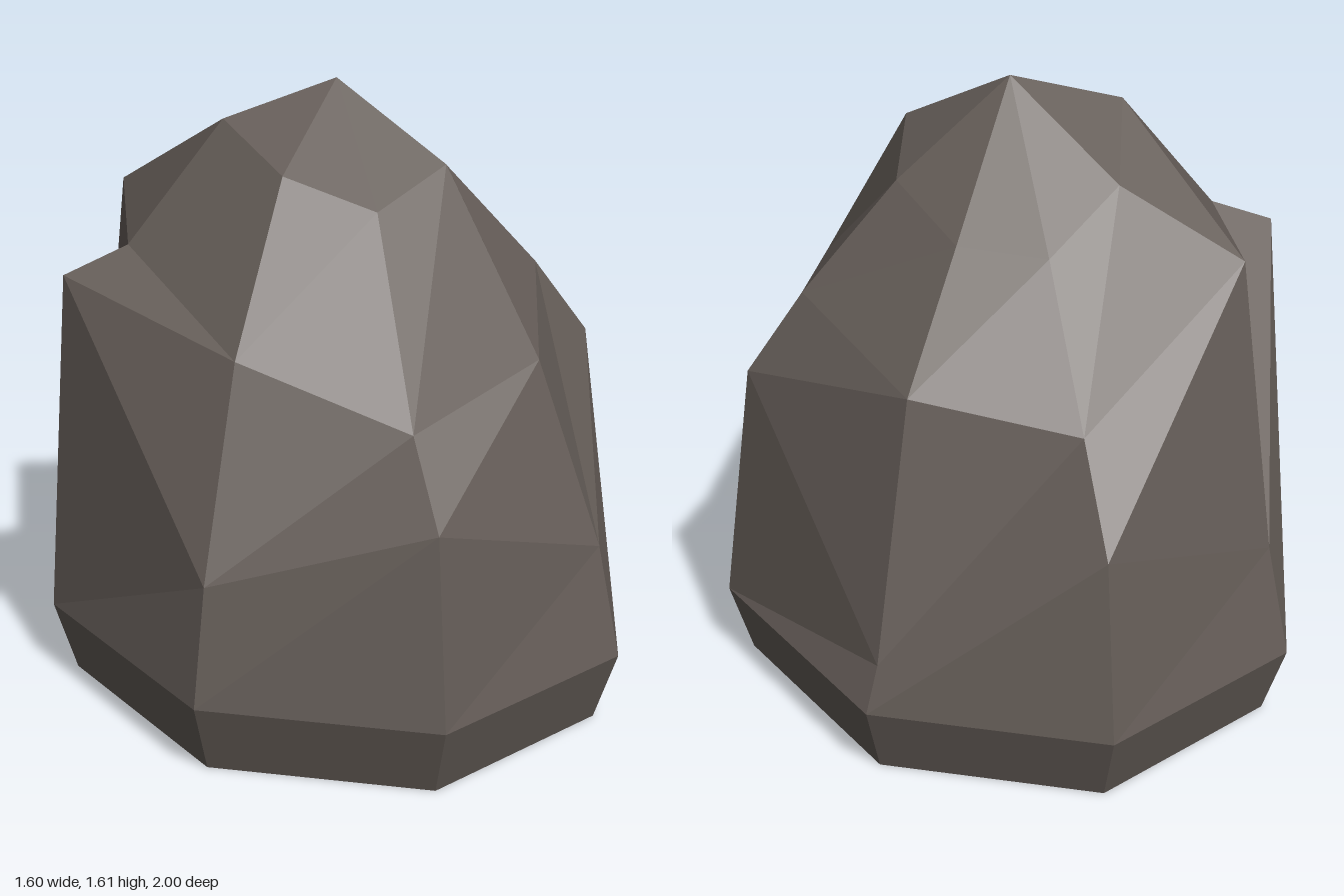
import * as THREE from 'three';

export function createModel() {
  const group = new THREE.Group();
  group.name = 'boulder';

  const stone = new THREE.MeshStandardMaterial({ color: 0x655d58 });
  stone.name = 'stone';
  stone.flatShading = true;
  stone.side = THREE.DoubleSide;

  // Rings from top to bottom: radius factor, heights going
  // right, front right, front, front left, left, back left, back, back right
  const SIDES = 8;
  const rings = [
    { r: 0.383, y: [1.52, 1.43, 1.35, 1.43, 1.35, 1.27, 1.25, 1.385] },
    { r: 0.707, y: [1.2, 1.03, 0.87, 0.96, 1.06, 0.98, 0.905, 1.24] },
    { r: 0.924, y: [1.13, 0.5, 0.69, 0.49, 0.85, 0.3, 0.67, 0.49] },
    { r: 1, y: Array(SIDES).fill(0.195) },
    { r: 0.924, y: Array(SIDES).fill(0) },
  ];
  // Small sideways shifts of chipped corners: ring, side, dx, dz
  const chips = [[1, 7, -0.08, 0], [1, 5, 0.005, -0.03], [2, 4, -0.02, 0], [0, 5, 0, -0.015]];

  const positions = [0, 1.61, 0];
  rings.forEach(({ r, y }, ring) => {
    for (let i = 0; i < SIDES; i++) {
      const a = (i / SIDES) * Math.PI * 2;
      const chip = chips.find((c) => c[0] === ring && c[1] === i) || [0, 0, 0, 0];
      positions.push(-0.8 * r * Math.cos(a) + chip[2], y[i], r * Math.sin(a) + chip[3]);
    }
  });

  // Peak fan, then bands between the rings; the underside stays open
  const at = (ring, i) => 1 + ring * SIDES + (i % SIDES);
  const index = [];
  for (let i = 0; i < SIDES; i++) {
    index.push(0, at(0, i), at(0, i + 1));
    for (let k = 0; k < rings.length - 1; k++) {
      const a = at(k, i + 1), b = at(k, i), c = at(k + 1, i), d = at(k + 1, i + 1);
      index.push(a, b, c, a, c, d);
    }
  }

  const indexed = new THREE.BufferGeometry();
  indexed.setAttribute('position', new THREE.Float32BufferAttribute(positions, 3));
  indexed.setIndex(index);
  const geometry = indexed.toNonIndexed();
  geometry.computeVertexNormals();

  const rock = new THREE.Mesh(geometry, stone);
  rock.name = 'rock';
  group.add(rock);
  return group;
}
